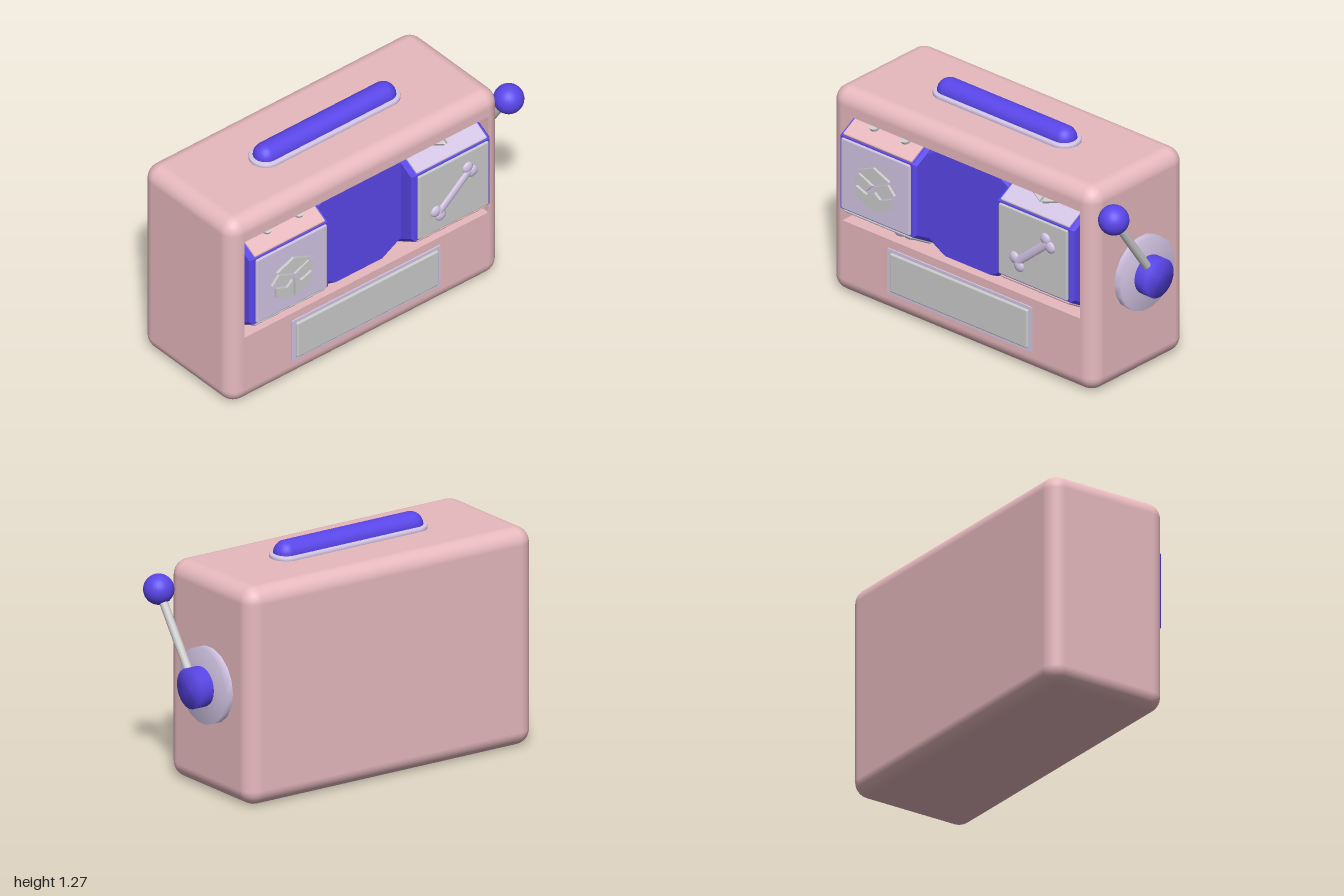
import * as THREE from 'three';
import { toCreasedNormals } from 'three/addons/utils/BufferGeometryUtils.js';
import { RoundedBoxGeometry } from 'three/addons/geometries/RoundedBoxGeometry.js';

const paint = (color) => new THREE.MeshStandardMaterial({ color });
const pink = paint(0xe8babf), blue = paint(0x5a46ea), lavender = paint(0xd4c6e6), grey = paint(0xcccccc);
const blueFlat = blue.clone();
blueFlat.flatShading = true;

function add(parent, name, geometry, material, x = 0, y = 0, z = 0) {
  const mesh = new THREE.Mesh(geometry, material);
  mesh.name = name;
  mesh.position.set(x, y, z);
  parent.add(mesh);
  return mesh;
}

const v2 = (points) => points.map(([x, y]) => new THREE.Vector2(x, y));
const rectangle = (C, x0, x1, y0, y1) => new C(v2([[x0, y0], [x1, y0], [x1, y1], [x0, y1]]));
const extrude = (shape, depth) => new THREE.ExtrudeGeometry(shape, { depth, bevelEnabled: false });
const lathe = (points, sides) => new THREE.LatheGeometry(v2(points), sides);

// Rounded case: its flat front is replaced by a panel with a window
function buildCase(root) {
  const r = 0.085, right = 0.823;
  const box = new RoundedBoxGeometry(1 + right, 1.18, 0.72, 4, r);
  const source = box.index ? box.toNonIndexed() : box;
  const p = source.attributes.position, n = source.attributes.normal;
  const positions = [], normals = [];
  for (let i = 0; i < p.count; i += 3) {
    if ([0, 1, 2].every((k) => p.getZ(i + k) > 0.3599)) continue;
    for (let k = i; k < i + 3; k++) {
      positions.push(p.getX(k), p.getY(k), p.getZ(k));
      normals.push(n.getX(k), n.getY(k), n.getZ(k));
    }
  }
  const shell = new THREE.BufferGeometry();
  shell.setAttribute('position', new THREE.Float32BufferAttribute(positions, 3));
  shell.setAttribute('normal', new THREE.Float32BufferAttribute(normals, 3));
  add(root, 'caseShell', shell, pink, (right - 1) / 2, 0.59, -0.04);

  const front = rectangle(THREE.Shape, -1 + r, right - r, r, 1.18 - r);
  front.holes.push(rectangle(THREE.Path, -0.91, 0.733, 0.425, 1.045));
  add(root, 'frontPanel', extrude(front, 0.12), pink, 0, 0, 0.2);

  // Inner walls, seen through the window
  const inside = paint(0xe8babf);
  inside.side = THREE.BackSide;
  const cavity = new THREE.BoxGeometry(1.68, 0.8, 0.56);
  const index = Array.from(cavity.index.array);
  index.splice(24, 6);
  cavity.setIndex(index);
  add(root, 'innerWalls', cavity, inside, -0.09, 0.7, -0.08);
}

// Raised pictures on the reel tiles
const openBox = [
  [[0, 0.115], [0.11, 0.068], [0, 0.022], [-0.11, 0.068]],
];
const flap = [[-0.1, 0.05], [-0.006, 0.008], [-0.05, -0.037], [-0.145, 0]];
const wall = [[-0.12, -0.028], [-0.047, -0.055], [-0.008, -0.025], [-0.008, -0.135], [-0.12, -0.085]];
for (const part of [flap, wall]) openBox.push(part, part.map(([x, y]) => [-x, y]).reverse());

function boxPicture(tile) {
  for (const outline of openBox) add(tile, 'boxPicture', extrude(new THREE.Shape(v2(outline)), 0.02), grey);
}

function bonePicture(tile) {
  const bone = new THREE.Group();
  bone.name = 'bonePicture';
  bone.rotation.z = 0.7;
  bone.scale.z = 0.5;
  tile.add(bone);
  add(bone, 'boneShaft', new THREE.CylinderGeometry(0.024, 0.024, 0.27, 12), lavender, 0, 0, 0.012).rotation.z = Math.PI / 2;
  for (const x of [-0.14, 0.14]) for (const y of [-0.025, 0.025]) {
    add(bone, 'boneKnob', new THREE.SphereGeometry(0.034, 14, 10), lavender, x, y, 0.006);
  }
}

function carPicture(tile) {
  const body = new THREE.Shape(v2([[-0.14, -0.09], [0.175, -0.09], [0.175, -0.01], [0.115, 0.01],
    [0.065, 0.09], [-0.12, 0.09], [-0.14, 0.06]]));
  for (const [x0, x1] of [[-0.1, -0.02], [0, 0.06]]) body.holes.push(rectangle(THREE.Path, x0, x1, 0.01, 0.06));
  add(tile, 'carBody', extrude(body, 0.015), grey);
  for (const x of [-0.09, 0.125]) {
    add(tile, 'carWheel', new THREE.CylinderGeometry(0.033, 0.033, 0.02, 16), grey, x, -0.095, 0.01).rotation.x = Math.PI / 2;
  }
}

// Six-sided reel along x; first picks the tile that faces the front
const kinds = [[pink, carPicture], [lavender, boxPicture], [grey, bonePicture]];
function buildReel(name, x, first) {
  const reel = new THREE.Group();
  reel.name = name;
  reel.position.set(x, 0.735, 0);
  const core = lathe([[0, -0.265], [0.4, -0.265], [0.421, -0.25], [0.421, 0.25], [0.4, 0.265], [0, 0.265]], 6);
  core.rotateZ(Math.PI / 2).rotateX(Math.PI / 6);
  add(reel, 'reelCore', core, blueFlat);
  for (let k = 0; k < 6; k++) {
    const side = new THREE.Group();
    side.name = 'reelSide';
    side.rotation.x = k * Math.PI / 3;
    reel.add(side);
    const [material, picture] = kinds[(first + k) % 3];
    add(side, 'reelTile', new RoundedBoxGeometry(0.475, 0.408, 0.03, 1, 0.008), material, 0, 0, 0.362);
    const raised = new THREE.Group();
    raised.name = 'tilePicture';
    raised.position.z = 0.373;
    side.add(raised);
    picture(raised);
  }
  return reel;
}

// Side lever: plate, hub, rod and ball
function buildLever(root) {
  const lever = new THREE.Group();
  lever.name = 'lever';
  root.add(lever);
  const plate = lathe([[0.205, 0], [0.205, 0.048], [0, 0.052]], 18);
  const hub = lathe([[0.1, 0.03], [0.108, 0.06], [0.108, 0.13], [0, 0.137]], 24);
  add(lever, 'leverPlate', plate, lavender, 0.822, 0.59, -0.05).rotation.z = -Math.PI / 2;
  add(lever, 'leverHub', hub, blue, 0.822, 0.59, -0.05).rotation.z = -Math.PI / 2;
  const from = new THREE.Vector3(0.917, 0.59, -0.05), to = new THREE.Vector3(0.917, 1.04, 0.265);
  add(lever, 'leverRod', new THREE.TubeGeometry(new THREE.LineCurve3(from, to), 1, 0.023, 14), grey);
  add(lever, 'leverBall', new THREE.SphereGeometry(0.081, 28, 20), blue, to.x, to.y, to.z);
}

export function createModel() {
  const root = new THREE.Group();
  root.name = 'reelMachine';
  buildCase(root);

  // The middle reel is turned so its end faces the front
  const middle = buildReel('middleReel', -0.09, 0);
  middle.rotation.y = -Math.PI / 2;
  root.add(buildReel('rightReel', -0.635, 1), middle, buildReel('leftReel', 0.455, 2));

  // Front display
  add(root, 'displayFrame', new THREE.BoxGeometry(1, 0.26, 0.02), lavender, -0.095, 0.247, 0.318);
  add(root, 'display', new RoundedBoxGeometry(0.955, 0.225, 0.04, 2, 0.01), grey, -0.092, 0.247, 0.321);

  // Top lamp on a rounded base
  const base = new THREE.Shape();
  base.absarc(0.395, 0, 0.08, -Math.PI / 2, Math.PI / 2);
  base.absarc(-0.395, 0, 0.08, Math.PI / 2, Math.PI * 1.5);
  const baseGeometry = toCreasedNormals(new THREE.ExtrudeGeometry(base, {
    depth: 0.015, bevelThickness: 0.008, bevelSize: 0.01, bevelSegments: 2,
  }), 0.6);
  add(root, 'lampBase', baseGeometry, lavender, -0.08, 1.177, -0.024).rotation.x = -Math.PI / 2;
  add(root, 'topLamp', new THREE.CapsuleGeometry(0.068, 0.79, 10, 24), blue, -0.08, 1.199, -0.024).rotation.z = Math.PI / 2;

  buildLever(root);
  return root;
}
